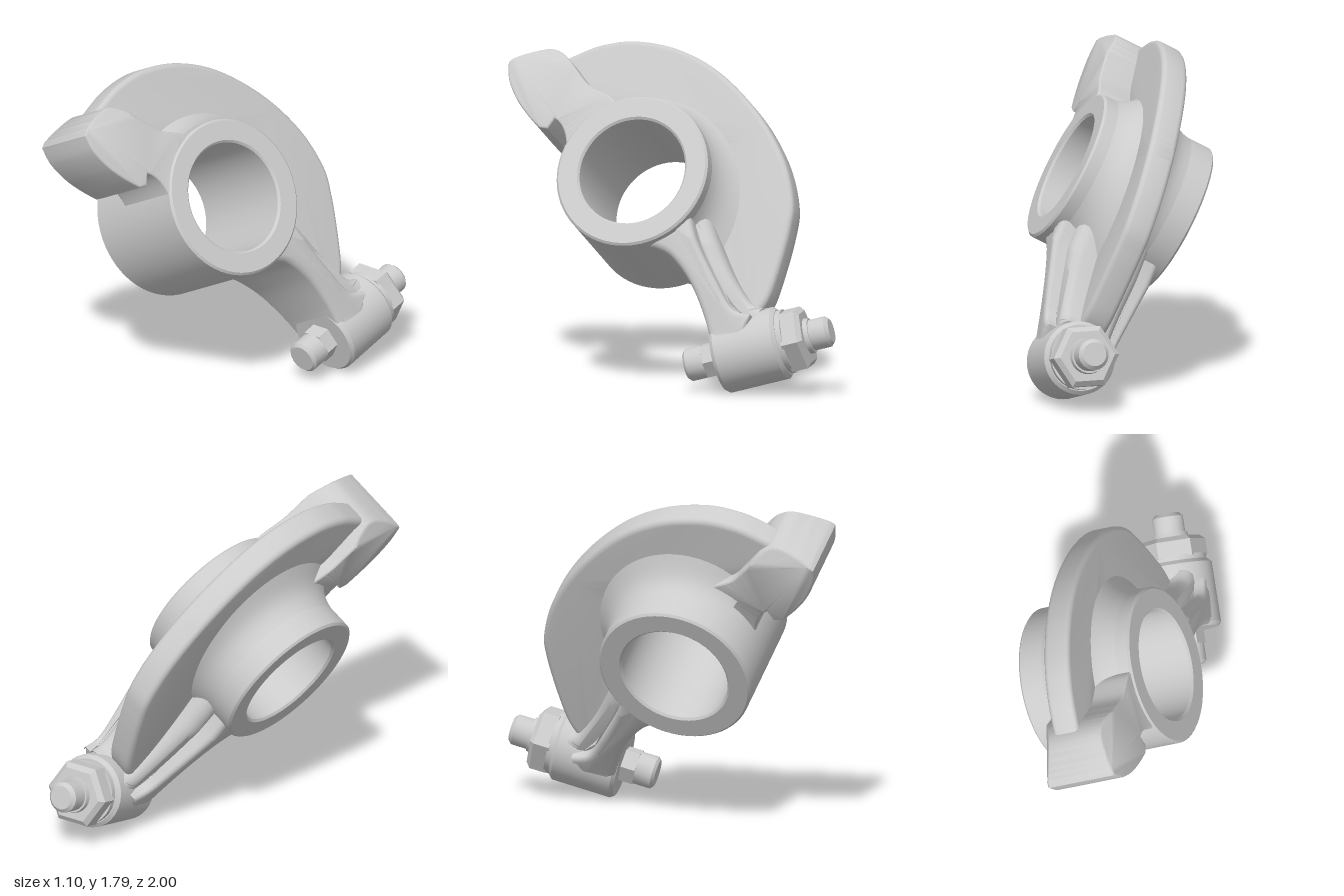
import * as THREE from 'three';
import { toCreasedNormals } from 'three/addons/utils/BufferGeometryUtils.js';

const grey = new THREE.MeshStandardMaterial({ color: 0xcccccc });
const V2 = (x, y) => new THREE.Vector2(x, y);

function part(name, geometry, crease = 0.6) {
  const mesh = new THREE.Mesh(toCreasedNormals(geometry, crease), grey);
  mesh.name = name;
  return mesh;
}

// Side profile (x = -z of the arm) extruded across the arm; rule(u, v) moves the u of each vertex
function plate(name, shape, width, bevel, rule) {
  const depth = width - 2 * bevel;
  const g = new THREE.ExtrudeGeometry(shape, {
    depth, steps: 1, curveSegments: 40,
    bevelEnabled: true, bevelThickness: bevel, bevelSize: bevel, bevelOffset: -bevel, bevelSegments: 4,
  });
  g.translate(0, 0, -depth / 2);
  g.rotateY(Math.PI / 2);
  const p = g.attributes.position;
  for (let i = 0; i < p.count; i++) p.setX(i, rule(p.getX(i), p.getY(i)));
  return part(name, g, 0.7);
}

// Solid of revolution about the pivot axis, profile as [radius, u]
function turned(name, profile, start = 0, length = Math.PI * 2) {
  const g = new THREE.LatheGeometry(profile.map(([r, u]) => V2(r, u)), 64, start, length);
  g.rotateZ(-Math.PI / 2);
  return part(name, g);
}

// Narrowing of the rear arm from the hub to the adjuster
function rearTaper(u, v) {
  const t = THREE.MathUtils.clamp((-v - 0.35) / 0.5, 0, 1);
  return u * (1 - 0.36 * t) - 0.03 * t;
}

export function createModel() {
  const root = new THREE.Group();
  root.name = 'rockerArm';
  const arm = new THREE.Group();
  arm.name = 'tiltedArm';
  arm.position.set(-0.05, 1.01, 0.18);
  arm.rotation.z = 0.4975;
  root.add(arm);

  // Pivot hub with its bore
  const h = 0.34, c = 0.012, r = 0.43;
  arm.add(turned('hub', [
    [0.3 + c, -h], [r - c, -h], [r, -h + c], [r, h - c], [r - c, h],
    [0.3 + c, h], [0.3, h - c], [0.3, -h + c], [0.3 + c, -h],
  ]));

  // Concave fillet between hub and fin, only on the finned side
  const fillet = new THREE.SplineCurve([V2(0.42, -0.27), V2(0.44, -0.15), V2(0.49, -0.07), V2(0.6, 0.01)]).getPoints(10)
    .concat(new THREE.SplineCurve([V2(0.6, 0.05), V2(0.5, 0.13), V2(0.445, 0.21), V2(0.42, 0.3)]).getPoints(10));
  arm.add(turned('hubFillet', fillet.map((p) => [p.x, p.y]), -1.25 * Math.PI, Math.PI));

  // Curved stiffening fin, leaning slightly across its height
  const fin = new THREE.Shape();
  fin.moveTo(-0.68, 0.58);
  fin.splineThru([
    [-0.6, 0.66], [-0.5, 0.72], [-0.36, 0.78], [-0.17, 0.81], [0.08, 0.775], [0.33, 0.66], [0.58, 0.45],
    [0.76, 0.21], [0.85, -0.02], [0.855, -0.19], [0.82, -0.44], [0.78, -0.6], [0.7, -0.73],
  ].map(([x, y]) => V2(x, y)));
  fin.lineTo(0.27, -0.27);
  fin.absarc(0, 0, 0.38, -Math.PI / 4, 2.46, false);
  arm.add(plate('fin', fin, 0.155, 0.03, (u, v) => u + 0.015 + 0.1 * v));

  // Front arm ending in the curved contact pad, narrowing along its raised back
  const pad = new THREE.Shape();
  pad.moveTo(-0.3, 0.2);
  pad.lineTo(-0.4, 0.1);
  pad.quadraticCurveTo(-0.42, 0.24, -0.5, 0.28);
  pad.lineTo(-0.53, 0.22);
  pad.lineTo(-0.58, 0.225);
  pad.splineThru([V2(-0.66, 0.295), V2(-0.74, 0.385), V2(-0.8, 0.49), V2(-0.82, 0.59)]);
  pad.lineTo(-0.8, 0.615);
  pad.splineThru([V2(-0.72, 0.655), V2(-0.6, 0.69), V2(-0.51, 0.655), V2(-0.42, 0.565), V2(-0.33, 0.48), V2(-0.2, 0.425), V2(-0.14, 0.37)]);
  arm.add(plate('contactPadArm', pad, 0.41, 0.012, (u, v) => {
    const t = Math.max(0, v - 0.6) / 0.1;
    return u * (1 - 0.25 * t) + 0.125 + 0.015 * t;
  }));

  // Rear arm, with a rounded step leading up to the fin
  const rear = new THREE.Shape();
  rear.moveTo(0.24, -0.24);
  rear.lineTo(0.36, -0.22);
  rear.splineThru([V2(0.42, -0.36), V2(0.54, -0.55), V2(0.65, -0.7), V2(0.76, -0.73)]);
  rear.lineTo(0.72, -0.86);
  rear.lineTo(0.55, -0.89);
  rear.splineThru([V2(0.49, -0.74), V2(0.4, -0.58), V2(0.29, -0.46), V2(0.2, -0.415), V2(0.1, -0.4)]);
  rear.lineTo(0.1, -0.36);
  arm.add(plate('rearArm', rear, 0.6, 0.035, rearTaper));

  const step = new THREE.Shape();
  step.moveTo(0.3, -0.24);
  step.lineTo(0.4, -0.12);
  step.splineThru([V2(0.49, -0.3), V2(0.61, -0.5), V2(0.72, -0.63), V2(0.8, -0.66)]);
  step.lineTo(0.72, -0.82);
  step.lineTo(0.56, -0.72);
  arm.add(plate('rearArmFillet', step, 0.42, 0.08, rearTaper));

  // Adjuster parts share one axis: [name, bottom radius, top radius, from, to, sides]
  const adjuster = new THREE.Group();
  adjuster.name = 'adjuster';
  adjuster.position.set(-0.03, -0.913, -0.55);
  adjuster.rotation.x = -1.27;
  arm.add(adjuster);
  const stack = [
    ['pinTip', 0.075, 0.09, -0.19, -0.175, 16],
    ['pin', 0.09, 0.09, -0.175, -0.08, 16],
    ['pinHex', 0.1, 0.1, -0.08, 0.05, 6],
    ['bossFrontEdge', 0.185, 0.2, 0, 0.02, 40],
    ['boss', 0.2, 0.2, 0.02, 0.35, 40],
    ['bossRearEdge', 0.2, 0.18, 0.35, 0.37, 40],
    ['nutCollar', 0.175, 0.175, 0.36, 0.4, 32],
    ['nut', 0.185, 0.185, 0.39, 0.48, 6],
    ['nutChamfer', 0.185, 0.155, 0.48, 0.505, 6],
    ['studNeck', 0.1, 0.095, 0.5, 0.53, 20],
    ['stud', 0.085, 0.085, 0.52, 0.62, 20],
    ['studTip', 0.085, 0.065, 0.62, 0.64, 20],
  ];
  for (const [name, r0, r1, from, to, sides] of stack) {
    const m = part(name, new THREE.CylinderGeometry(r1, r0, to - from, sides));
    m.position.y = (from + to) / 2;
    adjuster.add(m);
  }
  return root;
}
